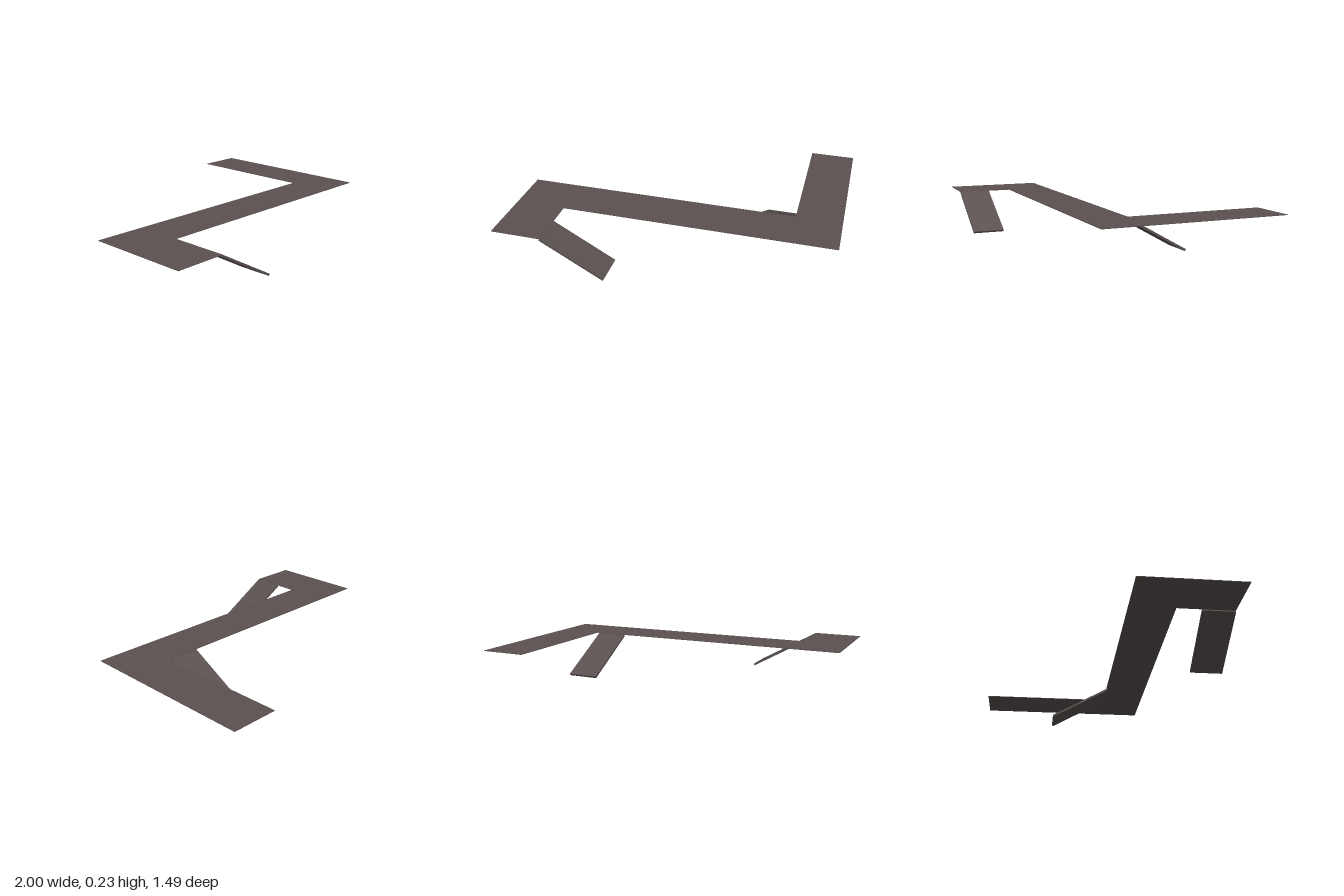
import * as THREE from 'three';

export function createModel() {
  const group = new THREE.Group();
  group.name = 'walkway';
  const brown = new THREE.MeshStandardMaterial({ color: 0x5a5150 });
  brown.name = 'dark brown';

  // Extrudes an outline and names the resulting part
  const plate = (name, points, depth) => {
    const shape = new THREE.Shape(points.map(([x, y]) => new THREE.Vector2(x, y)));
    const geometry = new THREE.ExtrudeGeometry(shape, { depth, bevelEnabled: false });
    const mesh = new THREE.Mesh(geometry, brown);
    mesh.name = name;
    group.add(mesh);
    return mesh;
  };

  // Thin zigzag deck, drawn as (x, -z) and laid flat
  const deckThickness = 0.003, deckTop = 0.23;
  const deck = plate('deck', [
    [-1, -0.745], [-0.69, -0.745], [-0.69, -0.395], [1, -0.395],
    [1, 0.745], [0.715, 0.745], [0.715, -0.115], [-1, -0.115],
  ], deckThickness);
  deck.rotation.x = -Math.PI / 2;
  deck.position.y = deckTop - deckThickness;

  // Ramp side outline: run along x, square-cut at both ends
  const ramp = [[0, 0.229], [0.385, 0.0115], [0.3785, 0], [-0.0065, 0.2175]].reverse();

  // Ramp beside the front landing, descending toward +x
  const frontRamp = plate('frontRamp', ramp, 0.2);
  frontRamp.position.set(-0.69, 0, 0.545);

  // Ramp beside the back arm, descending toward -z
  const backRamp = plate('backRamp', ramp, 0.2);
  backRamp.rotation.y = Math.PI / 2;
  backRamp.position.set(0.5, 0, 0.118);

  return group;
}
